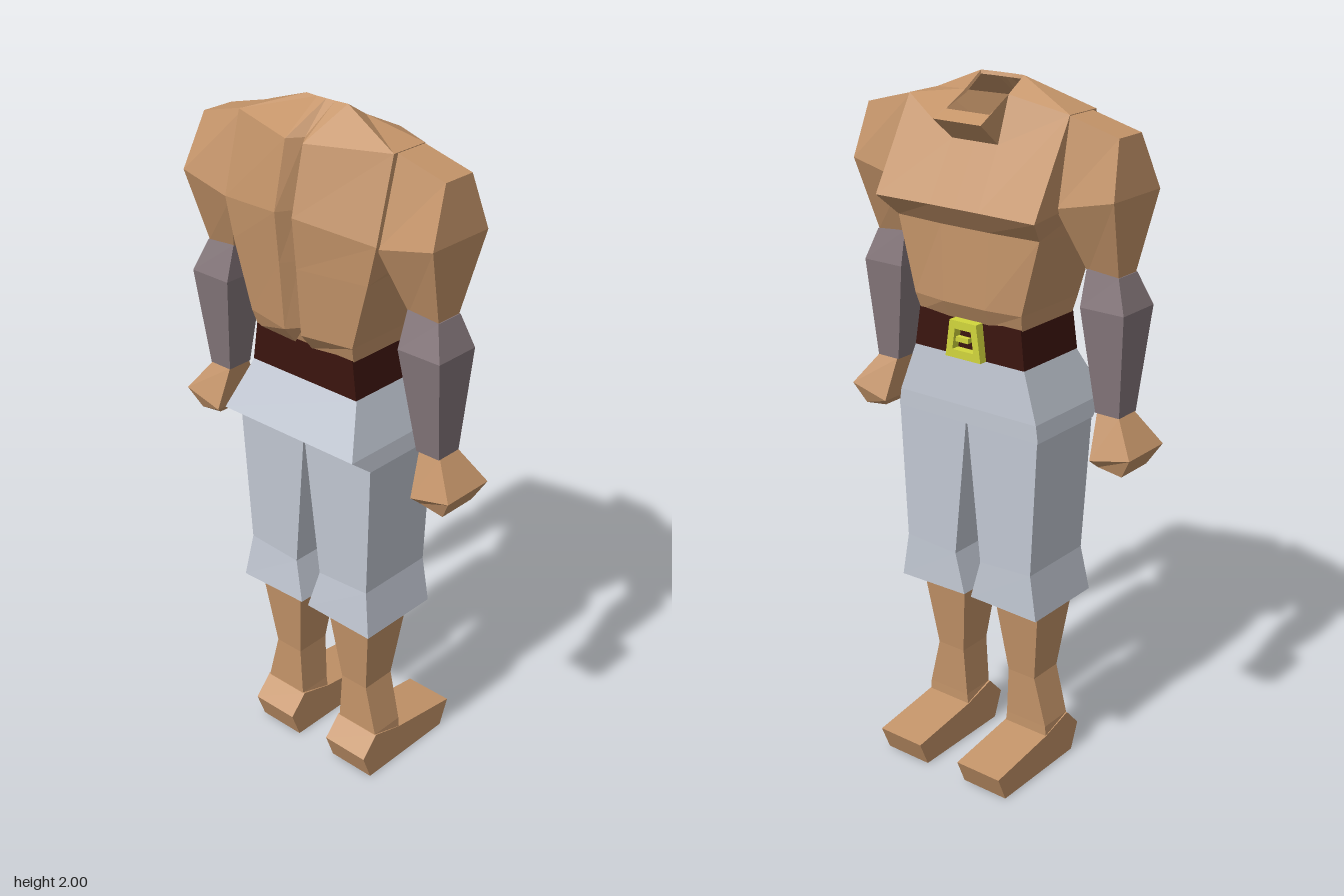
import * as THREE from 'three';

const mat = (color) => new THREE.MeshStandardMaterial({ color, flatShading: true, side: THREE.DoubleSide });

// Skin a stack of rings (bottom to top, each clockwise seen from above), with optional end caps
function loft(rings, capped = true) {
  const n = rings[0].length;
  const pos = rings.flat(2);
  const index = [];
  for (let i = 0; i < rings.length - 1; i++) {
    for (let j = 0; j < n; j++) {
      const a = i * n + j, b = i * n + (j + 1) % n;
      index.push(a, a + n, b, b, a + n, b + n);
    }
  }
  if (capped) {
    const top = (rings.length - 1) * n;
    for (let j = 1; j < n - 1; j++) {
      index.push(0, j, j + 1, top, top + j + 1, top + j);
    }
  }
  const indexed = new THREE.BufferGeometry();
  indexed.setAttribute('position', new THREE.Float32BufferAttribute(pos, 3));
  indexed.setIndex(index);
  const g = indexed.toNonIndexed();
  g.computeVertexNormals();
  return g;
}

// Four-cornered ring: heights at the inner and outer edge, x range, z range
const quad = ([yIn, yOut, x0, x1, z0, z1]) =>
  [[x0, yIn, z0], [x1, yOut, z0], [x1, yOut, z1], [x0, yIn, z1]];

const mirrorRing = (ring) => ring.map(([x, y, z]) => [-x, y, z]).reverse();

// Torso ring: half outline from breastbone to spine, mirrored
function torsoRing([yF, yS, yT, yB, w, xF, zF, zS, zT, zB, zSpine]) {
  const half = [[xF, yF, zF], [w, yS, zS], [w, yT, zT], [0.03, yB, zB]];
  return [[0, yF, zF], ...half, [0, yB, zSpine], ...mirrorRing(half)];
}

export function createModel() {
  const model = new THREE.Group();
  const skin = mat(0xc49469);
  const cloth = mat(0xc2c8d3);
  const leather = mat(0x3a140e);
  const wrap = mat(0x85777b);
  const brass = mat(0xd2d63c);

  const add = (name, geometry, material) => {
    const mesh = new THREE.Mesh(geometry, material);
    mesh.name = name;
    model.add(mesh);
    return mesh;
  };
  const addPair = (name, rows, material) => {
    const rings = rows.map(quad);
    add('left' + name, loft(rings), material);
    add('right' + name, loft(rings.map(mirrorRing)), material);
  };

  // Torso with chest ledge, spine groove and open neck with an overhanging collar
  add('torso', loft([
    [1.36, 1.36, 1.36, 1.36, 0.172, 0.07, -0.075, -0.07, 0.155, 0.16, 0.145],
    [1.41, 1.41, 1.41, 1.41, 0.18, 0.07, -0.1, -0.085, 0.17, 0.2, 0.16],
    [1.62, 1.62, 1.6, 1.6, 0.235, 0.08, -0.095, -0.085, 0.175, 0.215, 0.17],
    [1.68, 1.68, 1.71, 1.74, 0.262, 0.08, -0.14, -0.145, 0.175, 0.228, 0.175],
    [1.84, 1.93, 1.93, 1.92, 0.262, 0.075, -0.05, 0, 0.115, 0.185, 0.145],
    [1.9, 1.96, 2, 2, 0.07, 0.078, -0.125, 0, 0.065, 0.068, 0.068],
    [1.92, 1.95, 1.99, 1.99, 0.068, 0.07, -0.08, 0, 0.062, 0.064, 0.064],
  ].map(torsoRing), false), skin);

  // Arms
  addPair('UpperArm', [
    [1.53, 1.53, 0.31, 0.405, 0.025, 0.105],
    [1.7, 1.74, 0.255, 0.43, -0.045, 0.165],
    [1.93, 1.89, 0.255, 0.41, 0, 0.1],
  ], skin);
  addPair('ForearmWrap', [
    [1.15, 1.15, 0.345, 0.42, 0.025, 0.105],
    [1.44, 1.44, 0.305, 0.44, 0, 0.14],
    [1.54, 1.53, 0.308, 0.407, 0.022, 0.108],
  ], wrap);
  addPair('Fist', [
    [1.01, 1.0, 0.375, 0.45, 0, 0.12],
    [1.03, 1.06, 0.36, 0.485, -0.02, 0.143],
    [1.15, 1.15, 0.35, 0.42, 0.025, 0.1],
  ], skin);

  // Belt and buckle
  add('belt', loft([
    [1.26, 1.26, -0.187, 0.187, -0.08, 0.162],
    [1.37, 1.37, -0.172, 0.172, -0.076, 0.16],
  ].map(quad), false), leather);
  const trapezoid = (bottom, top, y0, y1) => [[-bottom, y0], [bottom, y0], [top, y1], [-top, y1]]
    .map(([x, y]) => new THREE.Vector2(x, y));
  const frame = new THREE.Shape(trapezoid(0.06, 0.045, 1.26, 1.365));
  frame.holes.push(new THREE.Path(trapezoid(0.036, 0.027, 1.283, 1.342)));
  const buckle = add('buckle', new THREE.ExtrudeGeometry(frame, { depth: 0.035, bevelEnabled: false }), brass);
  buckle.position.z = -0.105;
  const prong = add('buckleProng', new THREE.BoxGeometry(0.045, 0.014, 0.015), brass);
  prong.position.set(0.012, 1.31, -0.088);

  // Trousers: hips with a bulging seat, and two cropped legs
  add('trouserHips', loft([
    [1.07, 1.07, -0.242, 0.242, -0.09, 0.165],
    [1.12, 1.12, -0.235, 0.235, -0.09, 0.23],
    [1.26, 1.26, -0.187, 0.187, -0.08, 0.16],
  ].map(quad)), cloth);
  addPair('TrouserLeg', [
    [0.54, 0.535, 0.012, 0.242, -0.09, 0.17],
    [0.66, 0.67, 0.045, 0.22, -0.088, 0.155],
    [1.08, 1.08, 0.002, 0.24, -0.09, 0.164],
  ], cloth);

  // Shins flaring into the ankles
  addPair('Shin', [
    [0.09, 0.09, 0.07, 0.22, 0, 0.12],
    [0.14, 0.14, 0.076, 0.216, 0, 0.106],
    [0.29, 0.29, 0.085, 0.178, -0.005, 0.105],
    [0.56, 0.56, 0.052, 0.212, -0.038, 0.135],
  ], skin);

  // Feet: side profile (z, y) drawn across the foot's width, toes toward -z
  const profile = [[0.13, 0], [0.16, 0.08], [0.105, 0.14], [0, 0.11], [-0.228, 0.078], [-0.195, 0]];
  const sole = new THREE.Shape(profile.map(([z, y]) => new THREE.Vector2(-z, y)));
  for (const [name, x] of [['leftFoot', 0.07], ['rightFoot', -0.22]]) {
    const g = new THREE.ExtrudeGeometry(sole, { depth: 0.15, bevelEnabled: false });
    g.rotateY(Math.PI / 2);
    add(name, g, skin).position.x = x;
  }

  return model;
}
